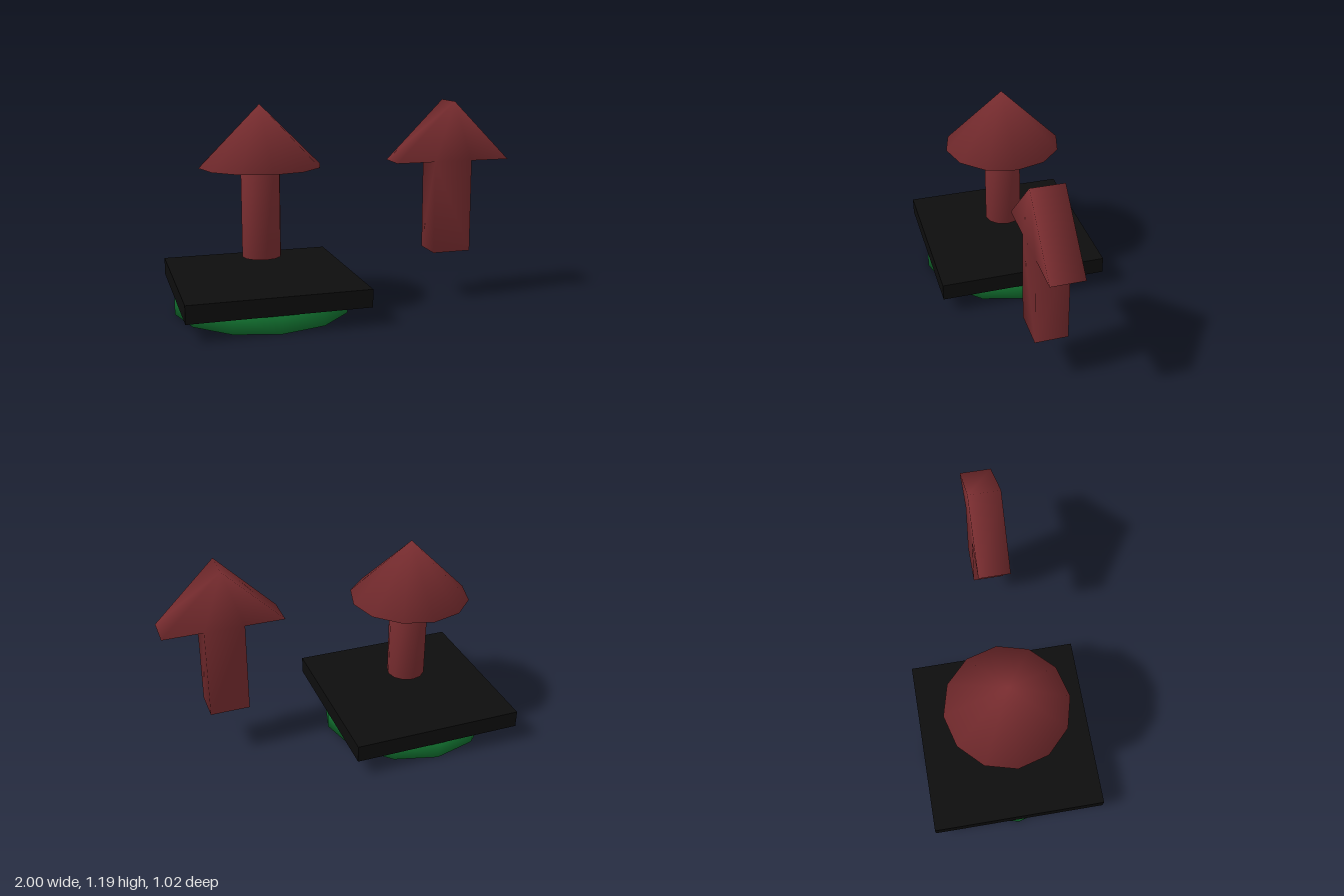
import * as THREE from 'three';
import { mergeVertices } from 'three/addons/utils/BufferGeometryUtils.js';

const SIDES = 12;
const red = new THREE.MeshStandardMaterial({ color: 0x7a2d30 });
const green = new THREE.MeshStandardMaterial({ color: 0x11702f });
const black = new THREE.MeshStandardMaterial({ color: 0x0d0d0d });

// Weld shared corners so shading blends over every edge
function soften(geometry) {
  geometry.deleteAttribute('normal');
  geometry.deleteAttribute('uv');
  const welded = mergeVertices(geometry, 1e-4);
  welded.computeVertexNormals();
  return welded;
}

function addPart(parent, name, geometry, material, x, y, z) {
  const mesh = new THREE.Mesh(geometry, material);
  mesh.name = name;
  mesh.position.set(x, y, z);
  parent.add(mesh);
}

export function createModel() {
  const model = new THREE.Group();
  model.name = 'arrowMarkers';
  const cx = -0.488;

  // Square-section ring under the plate
  const section = [[0.41, 0], [0.512, 0], [0.512, 0.103], [0.41, 0.103], [0.41, 0]]
    .map(([r, y]) => new THREE.Vector2(r, y));
  addPart(model, 'baseRing', soften(new THREE.LatheGeometry(section, SIDES)), green, cx, 0, 0);

  // Square plate
  addPart(model, 'basePlate', new THREE.BoxGeometry(1.024, 0.103, 1.024), black, cx, 0.1545, 0);

  // Round arrow floating over the plate
  const roundArrow = new THREE.Group();
  roundArrow.name = 'roundArrow';
  addPart(roundArrow, 'roundArrowShaft',
    soften(new THREE.CylinderGeometry(0.114, 0.114, 0.53, SIDES)), red, cx, 0.575, 0);
  addPart(roundArrow, 'roundArrowHead',
    soften(new THREE.ConeGeometry(0.353, 0.353, SIDES)), red, cx, 1.0145, 0);
  model.add(roundArrow);

  // Flat arrow standing beside the plate
  const outline = new THREE.Shape([
    [-0.117, 0.288], [0.117, 0.288], [0.117, 0.838], [0.353, 0.838],
    [0, 1.191], [-0.353, 0.838], [-0.117, 0.838],
  ].map(([x, y]) => new THREE.Vector2(x, y)));
  const flat = new THREE.ExtrudeGeometry(outline, { depth: 0.19, bevelEnabled: false });
  addPart(model, 'flatArrow', soften(flat), red, 0.643, 0, -0.033);

  return model;
}
